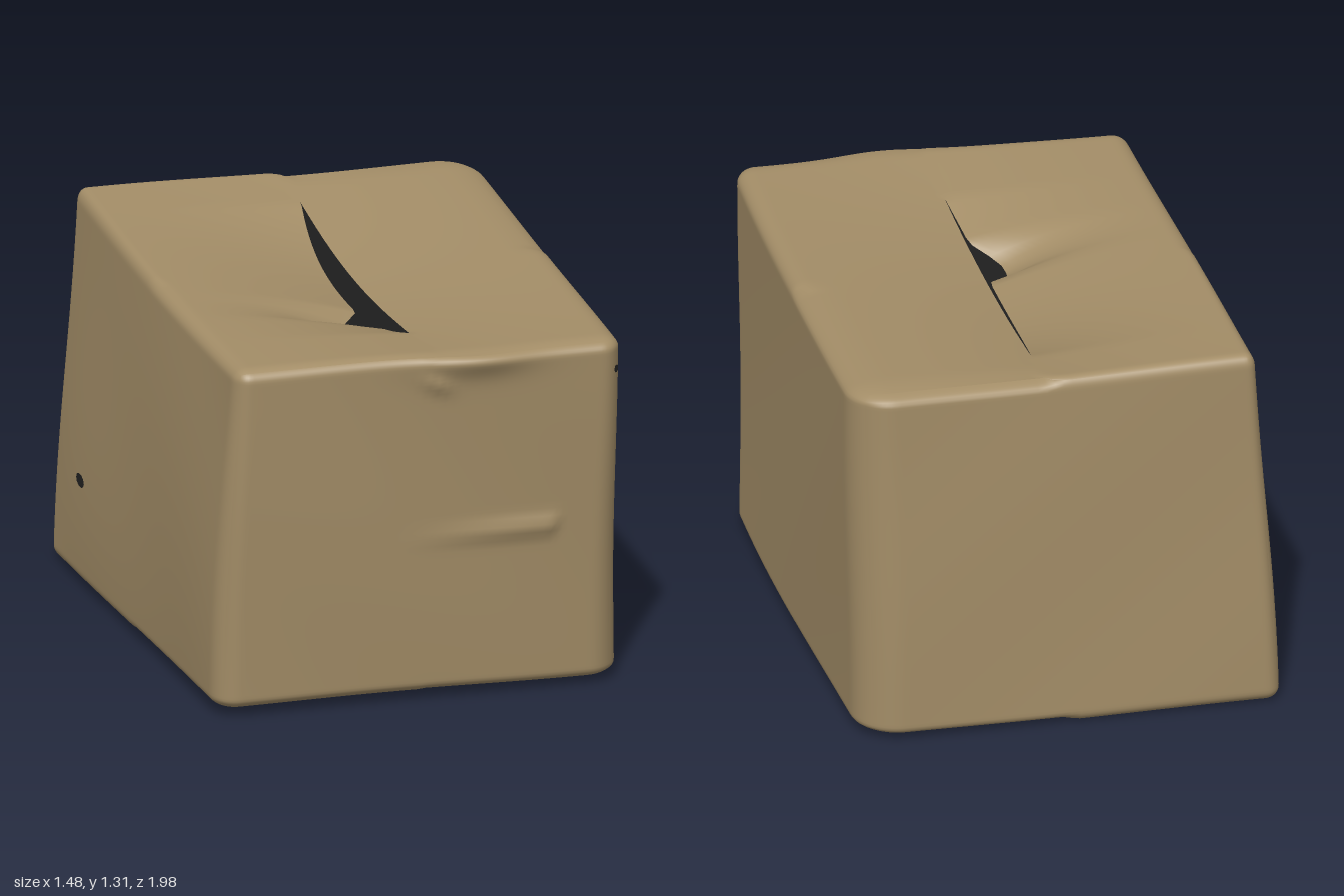
import * as THREE from 'three';
import { mergeGeometries, mergeVertices } from 'three/addons/utils/BufferGeometryUtils.js';

const HALF = [0.7, 0.64, 0.93];

// Corners of the crooked box, indexed by right/left, bottom/top, back/front
const CORNERS = {
  '000': [-0.73, 0.012, -1.0], '100': [0.73, 0.012, -0.96],
  '001': [-0.728, 0.04, 0.83], '101': [0.7, 0.025, 0.855],
  '010': [-0.645, 1.325, -0.985], '110': [0.748, 1.315, -0.95],
  '011': [-0.68, 1.275, 0.895], '111': [0.665, 1.28, 0.975],
};

const bell = (x, centre, width) => Math.exp(-(((x - centre) / width) ** 2));

// Softer vertical edges towards the bottom, sharp at the back left, broad at the back right
function cornerRadii(u, v, w) {
  if (u > 0 && w < 0) return [0.15, 0.045, 0.16];
  const k = u < 0 && w < 0 ? 0.6 : u > 0 ? 1.3 : 1;
  return [k * (0.07 - 0.015 * v), 0.045, k * (0.08 - 0.015 * v)];
}

// Maps the cube (-1..1) to the rounded, leaning and slightly crumpled box
function warp(u, v, w) {
  const radii = cornerRadii(u, v, w);
  const raw = [u * HALF[0], v * HALF[1], w * HALF[2]];
  const inner = raw.map((c, i) => THREE.MathUtils.clamp(c, radii[i] - HALF[i], HALF[i] - radii[i]));
  const off = new THREE.Vector3(...raw.map((c, i) => (c - inner[i]) / radii[i])).normalize().toArray();
  const t = off.map((c, i) => ((inner[i] + c * radii[i]) / HALF[i] + 1) / 2);
  const p = new THREE.Vector3();
  for (const key in CORNERS) {
    const weight = [...key].reduce((s, k, i) => s * (k === '1' ? t[i] : 1 - t[i]), 1);
    p.addScaledVector(new THREE.Vector3(...CORNERS[key]), weight);
  }
  // Bulging side walls, dipping top and a lip along the front top edge
  if (u < 0) p.x += 0.024 * u * (1 - v * v) * (1 - 0.4 * v) * (1 - w ** 4);
  else p.x += 0.016 * u * (1 - w * w);
  p.y -= 0.014 * (1 - w * w) * t[1];
  if (w > 0) p.z += 0.035 * w ** 6 * bell(u, 0.25, 0.27) * bell(v, 0.97, 0.1);
  p.x += 0.004 * Math.sin(3.1 * p.z + 4 * p.y);
  p.y += 0.003 * Math.sin(5 * p.x + 2.3 * p.z);
  p.z += 0.003 * Math.sin(4.2 * p.x + 5 * p.y);
  return p;
}

// Grid of points over two parameter lists
function patch(listA, listB, point) {
  const pos = [], index = [], n = listB.length;
  for (const a of listA) for (const b of listB) pos.push(...point(a, b).toArray());
  for (let i = 0; i < listA.length - 1; i++) {
    for (let j = 0; j < n - 1; j++) {
      const k = i * n + j;
      index.push(k, k + n, k + n + 1, k, k + n + 1, k + 1);
    }
  }
  const g = new THREE.BufferGeometry();
  g.setAttribute('position', new THREE.Float32BufferAttribute(pos, 3));
  g.setIndex(index);
  return g;
}

// How far the seam stands open along its length, and the torn notch in it
const opening = (w) => Math.max(0, 1 - Math.abs((w + 0.04) / 0.68) ** 2.5);
const notch = (w) => Math.exp(-(((w - 0.26) / 0.1) ** 4));

// Top flaps sag towards the seam, the left one further
function topPoint(w, u, left) {
  const gap = left ? 0.058 * opening(w) + 0.13 * notch(w) : 0;
  const p = warp(u * (1 - gap) - gap, 1, w);
  const near = 1 - Math.abs(u);
  p.y -= 0.065 * near ** 1.5 * Math.cos(w * Math.PI / 2);
  if (left) p.y -= 0.06 * near ** 2 * opening(w) + 0.04 * near ** 4 * notch(w);
  p.x += 0.025 * near * (1 - w ** 20);
  return p;
}

// Groove where the bottom flaps meet
function bottomPoint(u, w) {
  const p = warp(u, -1, w);
  p.y += (1 - w ** 8) * (0.03 * bell(u, 0.06, 0.035) + 0.008 * (1 - Math.abs(u)));
  return p;
}

// Front wall with a long crease at mid height and a short curled one above
function frontPoint(u, v) {
  const p = warp(u, v, 1);
  const grow = THREE.MathUtils.smoothstep(u, -0.15, 0.55) * (1 - THREE.MathUtils.smoothstep(u, 0.64, 0.71));
  p.z += 0.02 * grow * bell(v, -0.075 + 0.03 * u, 0.045);
  const along = (u - 0.04) * 0.8 - (v - 0.82) * 0.6;
  const across = (u - 0.04) * 0.6 + (v - 0.82) * 0.8;
  p.z += 0.018 * bell(along, 0, 0.085) * bell(across, 0, 0.035);
  return p;
}

export function createModel() {
  const group = new THREE.Group();
  const cardboard = new THREE.MeshStandardMaterial({ color: 0xa38d67 });
  cardboard.name = 'cardboard';
  const dark = new THREE.MeshStandardMaterial({ color: 0x222222, side: THREE.DoubleSide });
  dark.name = 'dark interior';
  const lining = new THREE.MeshStandardMaterial({ color: 0x222222, side: THREE.BackSide });
  lining.name = 'dark lining';

  const add = (name, geometry, material) => {
    const mesh = new THREE.Mesh(geometry, material);
    mesh.name = name;
    group.add(mesh);
    return mesh;
  };

  // Samples packed towards the rounded edges
  const S = Array.from({ length: 73 }, (_, i) => Math.sin(((i - 36) / 36) * Math.PI / 2));
  const leftHalf = S.slice(0, 37), rightHalf = S.slice(36);

  // Walls, bottom and the two top flaps
  const shell = mergeVertices(mergeGeometries([
    patch(S, S, frontPoint),
    patch(S, S, (a, b) => warp(-a, b, -1)),
    patch(S, S, (a, b) => warp(1, a, b)),
    patch(S, S, (a, b) => warp(-1, b, a)),
    patch(S, S, bottomPoint),
    patch(S, leftHalf, (a, b) => topPoint(a, b, true)),
    patch(S, rightHalf, (a, b) => topPoint(a, b, false)),
  ]), 1e-5);
  shell.computeVertexNormals();
  add('cardboardBox', shell, cardboard);

  // Dark inner faces seen through the opening
  add('interior', shell, lining);

  // Small punctures
  const hole = (name, u, v, w, turn, width, height) => {
    const m = add(name, new THREE.CircleGeometry(1, 10), dark);
    m.position.copy(warp(u, v, w)).add(new THREE.Vector3(Math.sin(turn), 0, Math.cos(turn)).multiplyScalar(0.004));
    m.rotation.y = turn;
    m.scale.set(width, height, 1);
  };
  hole('leftWallHole', -1, -0.43, -0.63, -Math.PI / 2, 0.042, 0.024);
  hole('cornerHole', 1, 0.82, 1, Math.PI / 4, 0.014, 0.014);

  return group;
}
